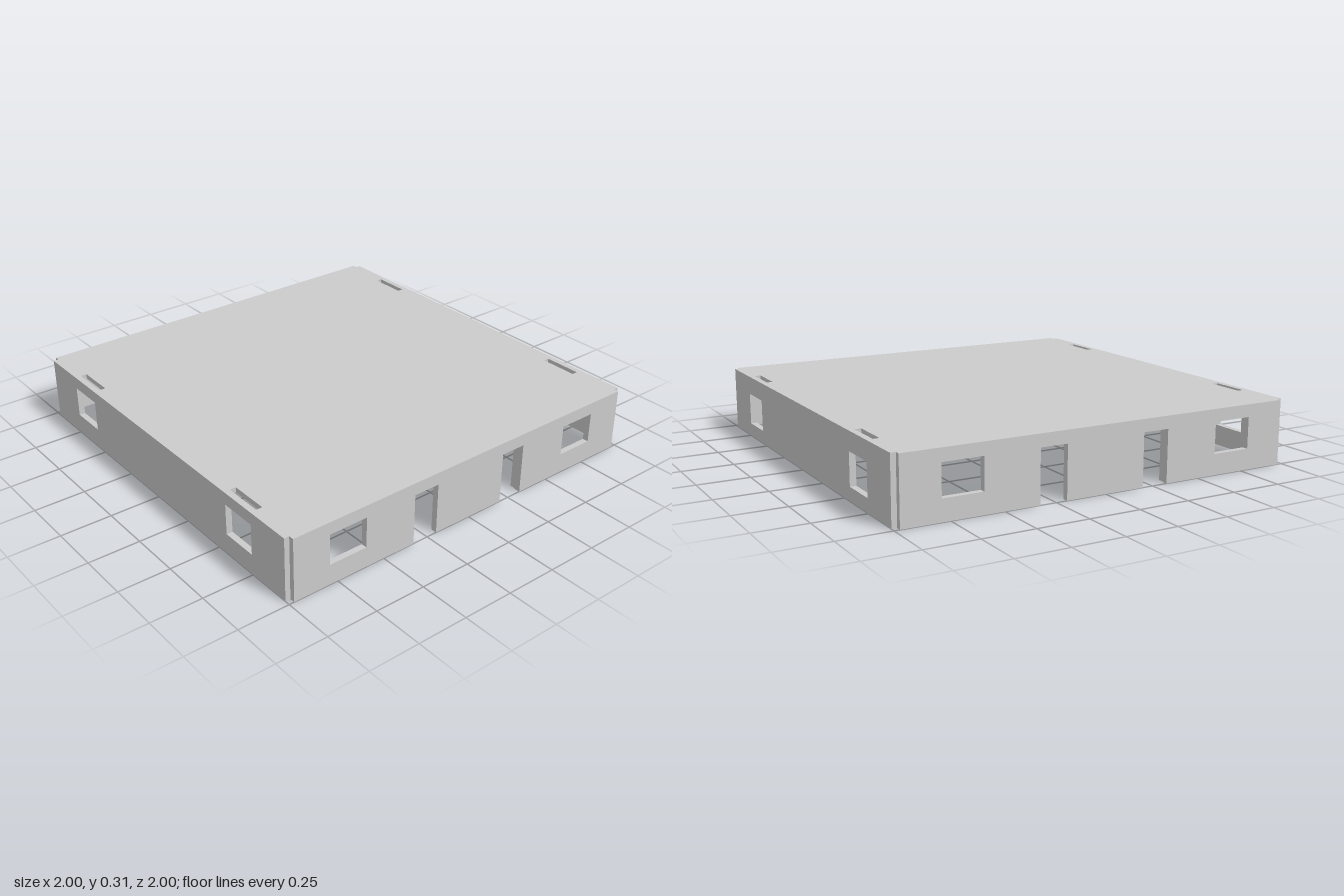
import * as THREE from 'three';

const H = 0.31, ROOF = 0.025, WALL = 0.03, NOTCH = 0.025;
const TOP = H - ROOF;
const mat = new THREE.MeshStandardMaterial({ color: 0xcccccc, flatShading: true });

function rectPath(x0, y0, x1, y1) {
  const p = new THREE.Path();
  p.moveTo(x0, y0).lineTo(x0, y1).lineTo(x1, y1).lineTo(x1, y0).closePath();
  return p;
}

function extrude(shape, depth) {
  return new THREE.ExtrudeGeometry(shape, { depth, bevelEnabled: false });
}

// Wall panel along local x, outer face at local z = 1
function wall(name, doors, windows, sill, head) {
  const e = 1 - NOTCH;
  const s = new THREE.Shape();
  s.moveTo(-e, 0);
  for (const [a, b] of doors) s.lineTo(a, 0).lineTo(a, 0.25).lineTo(b, 0.25).lineTo(b, 0);
  s.lineTo(e, 0).lineTo(e, TOP).lineTo(-e, TOP).closePath();
  for (const [a, b] of windows) s.holes.push(rectPath(a, sill, b, head));
  const g = extrude(s, WALL);
  g.translate(0, 0, 1 - WALL);
  const m = new THREE.Mesh(g, mat);
  m.name = name;
  return m;
}

export function createModel() {
  const root = new THREE.Group();
  root.name = 'building';
  const box = (name, w, h, d, x, y, z) => {
    const m = new THREE.Mesh(new THREE.BoxGeometry(w, h, d), mat);
    m.position.set(x, y, z);
    m.name = name;
    root.add(m);
  };

  // Roof slab with notched corners and a slot behind each side window
  const n = 1 - NOTCH;
  const roof = new THREE.Shape([
    [-n, -1], [n, -1], [n, -n], [1, -n], [1, n], [n, n],
    [n, 1], [-n, 1], [-n, n], [-1, n], [-1, -n], [-n, -n],
  ].map(([x, y]) => new THREE.Vector2(x, y)));
  for (const x of [-0.955, 0.955])
    for (const z of [-0.65, 0.65])
      roof.holes.push(rectPath(x - 0.015, z - 0.094, x + 0.015, z + 0.094));
  const slab = new THREE.Mesh(extrude(roof, ROOF).rotateX(-Math.PI / 2), mat);
  slab.position.y = TOP;
  slab.name = 'roofSlab';
  root.add(slab);

  // Front and back walls with two doorways and two windows
  const doors = [[-0.33, -0.197], [0.197, 0.327]];
  const wins = [[-0.79, -0.597], [0.595, 0.787]];
  const back = wall('backWall', doors, wins, 0.1, 0.25);
  back.rotation.y = Math.PI;
  root.add(wall('frontWall', doors, wins, 0.1, 0.25), back);

  // Side walls, windows slightly lower on the +x side
  const sideWins = [[-0.745, -0.56], [0.56, 0.745]];
  const left = wall('leftWall', [], sideWins, 0.065, 0.22);
  left.rotation.y = Math.PI / 2;
  const right = wall('rightWall', [], sideWins, 0.1, 0.25);
  right.rotation.y = -Math.PI / 2;
  root.add(left, right);

  // Ceiling beams: five lengthwise, one across
  const beamH = 0.033, beamY = TOP - beamH / 2, span = 2 * (1 - WALL);
  for (const x of [-0.75, -0.38, 0, 0.38, 0.75]) box('ceilingBeam', 0.07, beamH, span, x, beamY, 0);
  box('crossBeam', span, beamH, 0.07, 0, beamY - 0.001, 0);

  // Central pillars and wall pilasters
  for (const s of [-1, 1]) {
    box('pillar', 0.1, TOP, 0.1, s * 0.385, TOP / 2, 0);
    for (const t of [-1, 1]) {
      box('endPilaster', 0.06, TOP, 0.03, s * 0.362, TOP / 2, t * 0.955);
      box('sidePilaster', 0.03, TOP, 0.06, s * 0.955, TOP / 2, t * 0.36);
    }
  }
  return root;
}
